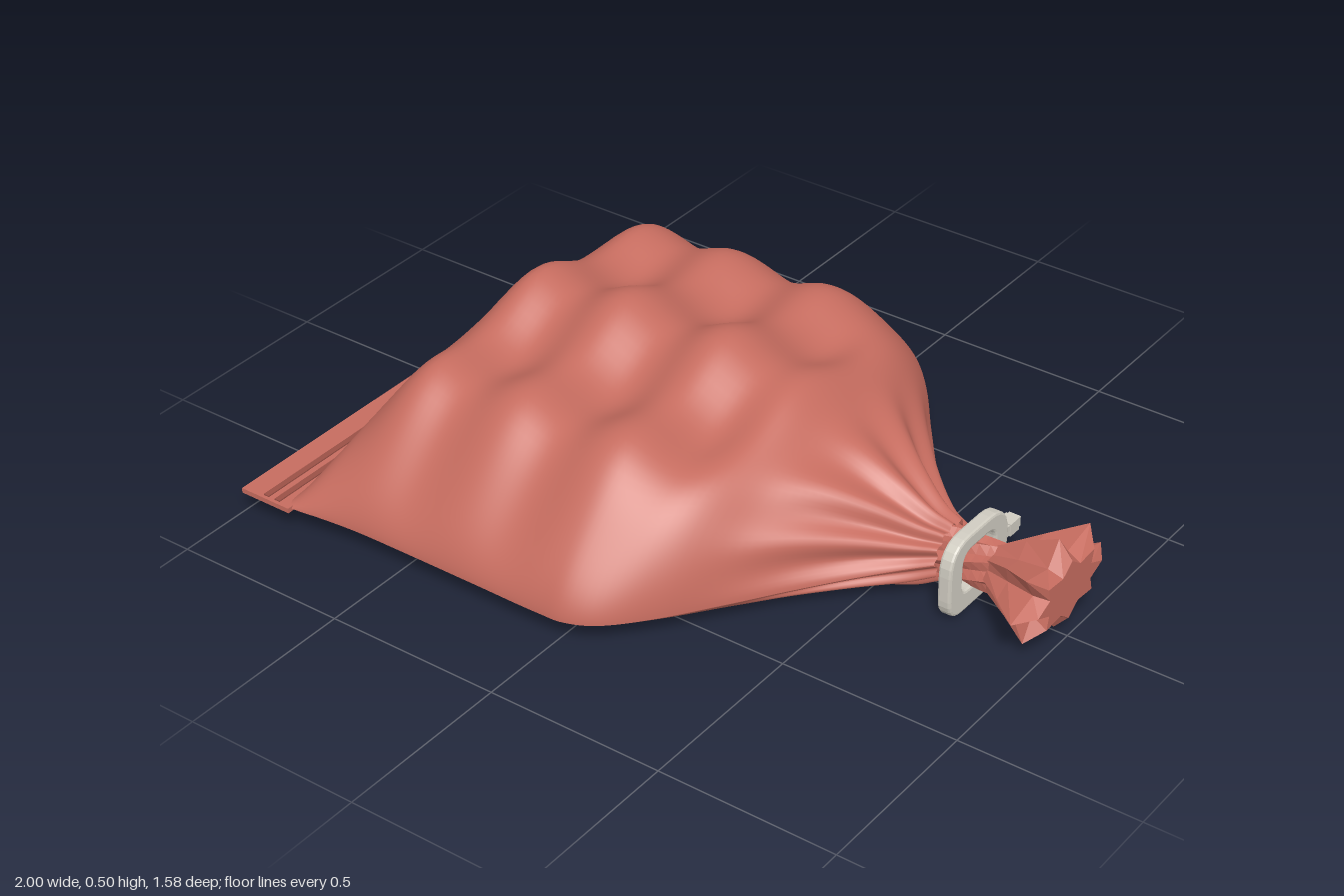
import * as THREE from 'three';

// Loft a grid of points: point(i, j) with i along the bag, j around it
function loft(rows, cols, point, flat = false) {
  const pos = [], idx = [];
  for (let i = 0; i <= rows; i++)
    for (let j = 0; j <= cols; j++) pos.push(...point(i, j));
  for (let i = 0; i < rows; i++)
    for (let j = 0; j < cols; j++) {
      const a = i * (cols + 1) + j, b = a + cols + 1;
      idx.push(a, b, a + 1, a + 1, b, b + 1);
    }
  let g = new THREE.BufferGeometry();
  g.setAttribute('position', new THREE.Float32BufferAttribute(pos, 3));
  g.setIndex(idx);
  if (flat) g = g.toNonIndexed();
  g.computeVertexNormals();
  return g;
}

// Rectangle with separate top and bottom corner radii
function roundRect(shape, w, h, top, bottom, cy) {
  const x = w / 2, b = cy - h / 2, t = cy + h / 2;
  shape.moveTo(-x + bottom, b);
  shape.lineTo(x - bottom, b);
  shape.quadraticCurveTo(x, b, x, b + bottom);
  shape.lineTo(x, t - top);
  shape.quadraticCurveTo(x, t, x - top, t);
  shape.lineTo(-x + top, t);
  shape.quadraticCurveTo(-x, t, -x, t - top);
  shape.lineTo(-x, b + bottom);
  shape.quadraticCurveTo(-x, b, -x + bottom, b);
  return shape;
}

export function createModel() {
  const model = new THREE.Group();
  const film = new THREE.MeshStandardMaterial({ color: 0xc66c5f, side: THREE.DoubleSide });
  film.name = 'red film';
  const crimp = new THREE.MeshStandardMaterial({ color: 0x9a5046 });
  crimp.name = 'darker red crimp';
  const grey = new THREE.MeshStandardMaterial({ color: 0xd0ccc1 });
  grey.name = 'clip grey';
  const add = (name, geo, mat, x = 0, y = 0, z = 0) => {
    const m = new THREE.Mesh(geo, mat);
    m.name = name;
    m.position.set(x, y, z);
    model.add(m);
  };

  // Bag stations: x, half width, rise above the rim, depth below it, rim height
  const stations = [
    [-0.87, 0.78, 0, 0, 0.065], [-0.82, 0.775, 0.145, 0.06, 0.065],
    [-0.74, 0.765, 0.28, 0.062, 0.065], [-0.64, 0.757, 0.355, 0.062, 0.065],
    [-0.5, 0.755, 0.37, 0.062, 0.065], [-0.25, 0.755, 0.37, 0.062, 0.065],
    [-0.05, 0.755, 0.37, 0.062, 0.065], [0.02, 0.75, 0.37, 0.062, 0.065],
    [0.1, 0.71, 0.365, 0.062, 0.065], [0.2, 0.6, 0.345, 0.063, 0.065],
    [0.3, 0.46, 0.285, 0.066, 0.068], [0.4, 0.32, 0.23, 0.072, 0.075],
    [0.5, 0.2, 0.165, 0.08, 0.085], [0.6, 0.11, 0.1, 0.085, 0.1],
    [0.66, 0.075, 0.072, 0.072, 0.115],
  ];
  const track = new THREE.CubicInterpolant(
    stations.map(s => s[0]), stations.flatMap(s => s.slice(1)), 4, new Float32Array(4));
  const { smoothstep, lerp } = THREE.MathUtils;
  const ROWS = 90, COLS = 72;

  const bodyPoint = start => (i, j) => {
    const x = lerp(-0.87, 0.66, i / ROWS), t = start + Math.PI * j / COLS;
    const [w, h, d, rim] = track.evaluate(x);
    const s = Math.cos(t), a = Math.min(1, Math.abs(s)), round = smoothstep(x, 0.1, 0.42);
    // gathers towards the neck
    const fold = 1 + 0.1 * smoothstep(x, 0.22, 0.6) * Math.cos(12 * t);
    const z = w * s * fold;
    if (start > 0) {
      const g = lerp(Math.min(1, (1 - a) / 0.21), Math.abs(Math.sin(t)), round);
      return [x, Math.max(0.002, rim - Math.max(0, d) * g * fold), z];
    }
    const f = lerp(Math.pow(1 - Math.pow(a, 2.5), 0.65), Math.sin(t), round);
    // lumps from the contents
    const env = smoothstep(x, -0.8, -0.62) * (1 - smoothstep(x, 0.05, 0.35)) * f;
    const lump = 0.036 * Math.cos(2 * Math.PI * z / 0.48)
      + 0.026 * Math.cos(2 * Math.PI * (x + 0.04) / 0.31);
    return [x, rim + Math.max(0, h) * f * fold + env * lump, z];
  };
  add('bagTop', loft(ROWS, COLS, bodyPoint(0)), film);
  add('bagBottom', loft(ROWS, COLS, bodyPoint(Math.PI)), film);

  // Flat seal with crimp stripes on both sides
  add('sealStrip', new THREE.BoxGeometry(0.16, 0.014, 1.58), film, -0.92, 0.065, 0);
  for (const x of [-0.924, -0.887])
    add('sealStripe', new THREE.BoxGeometry(0.017, 0.021, 1.56), crimp, x, 0.065, 0);

  // Star-shaped rings: x, vertical radius, sideways radius, valley ratio, centre y, twist
  const starPoint = rings => (i, j) => {
    const [x, ry, rz, valley, cy, twist] = rings[i];
    const t = j * Math.PI / 8 + twist, k = j % 2 ? valley : 1;
    return [x, cy + ry * k * Math.sin(t), rz * k * Math.cos(t)];
  };
  const neck = [];
  for (let i = 0; i <= 6; i++)
    neck.push([0.64 + 0.027 * i, 0.067, 0.066, 0.78, 0.115, (i - 6) * 0.13]);
  add('twistedNeck', loft(6, 16, starPoint(neck), true), film);

  // Flared tail with closed end
  const tail = [
    [0.79, 0.067, 0.064, 0.78, 0.117, 0], [0.87, 0.1, 0.128, 0.68, 0.13, 0],
    [0.96, 0.132, 0.212, 0.57, 0.142, 0], [1, 0.085, 0.15, 0.7, 0.14, 0],
    [1, 0, 0, 1, 0.14, 0],
  ];
  add('flaredTail', loft(4, 16, starPoint(tail), true), film);

  // Closing clip around the neck
  const frame = roundRect(new THREE.Shape(), 0.252, 0.206, 0.08, 0.055, 0.11);
  frame.holes.push(roundRect(new THREE.Path(), 0.164, 0.134, 0.05, 0.035, 0.117));
  const clip = new THREE.ExtrudeGeometry(frame, {
    depth: 0.024, bevelEnabled: true, bevelThickness: 0.007, bevelSize: 0.007,
    bevelSegments: 2, curveSegments: 6,
  });
  clip.translate(0, 0, -0.012).rotateY(Math.PI / 2);
  add('clipFrame', clip, grey, 0.722);
  add('clipTab', new THREE.BoxGeometry(0.034, 0.03, 0.078), grey, 0.722, 0.125, -0.155);
  add('clipCatch', new THREE.BoxGeometry(0.04, 0.036, 0.04), grey, 0.722, 0.125, -0.163);
  return model;
}
